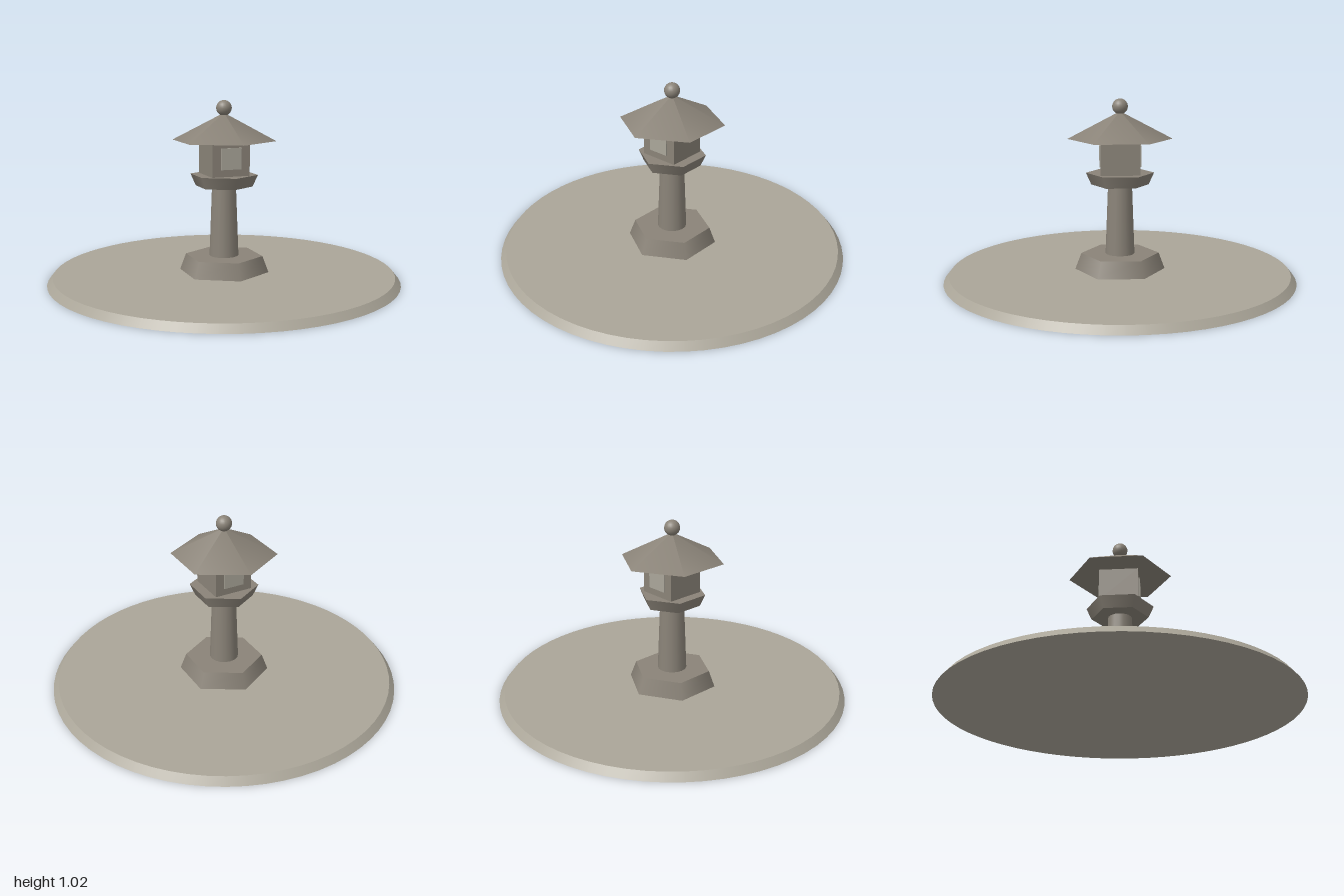
import * as THREE from 'three';

export function createModel() {
  const model = new THREE.Group();
  model.name = 'stoneLantern';

  const material = (name, color) => {
    const m = new THREE.MeshStandardMaterial({ color });
    m.name = name;
    return m;
  };
  const stone = material('stone', 0x8a8378);
  const gravel = material('gravel', 0xaaa598);
  const pane = material('paperPane', 0xaaa69a);

  const add = (name, geometry, mat, y, z = 0) => {
    const mesh = new THREE.Mesh(geometry, mat);
    mesh.name = name;
    mesh.position.set(0, y, z);
    model.add(mesh);
  };
  // Tapered round or hexagonal block standing between two heights
  const block = (name, rTop, rBottom, y0, y1, sides, mat = stone) =>
    add(name, new THREE.CylinderGeometry(rTop, rBottom, y1 - y0, sides), mat, (y0 + y1) / 2);

  // Ground disc and pedestal
  block('groundDisc', 0.968, 1, 0, 0.04, 64, gravel);
  block('pedestal', 0.222, 0.257, 0.04, 0.133, 6);
  block('column', 0.068, 0.083, 0.133, 0.533, 16);
  block('platform', 0.193, 0.163, 0.533, 0.6, 6);

  // Lamp chamber with a pane at the front and back
  add('lampChamber', new THREE.BoxGeometry(0.222, 0.193, 0.222), stone, 0.6965);
  for (const side of [1, -1]) {
    add(side > 0 ? 'frontPane' : 'backPane',
      new THREE.BoxGeometry(0.12, 0.12, 0.008), pane, 0.7, side * 0.113);
  }

  // Hexagonal roof and ball finial
  add('roof', new THREE.ConeGeometry(0.296, 0.155, 6), stone, 0.8695);
  add('finial', new THREE.SphereGeometry(0.044, 20, 14), stone, 0.974);

  return model;
}
